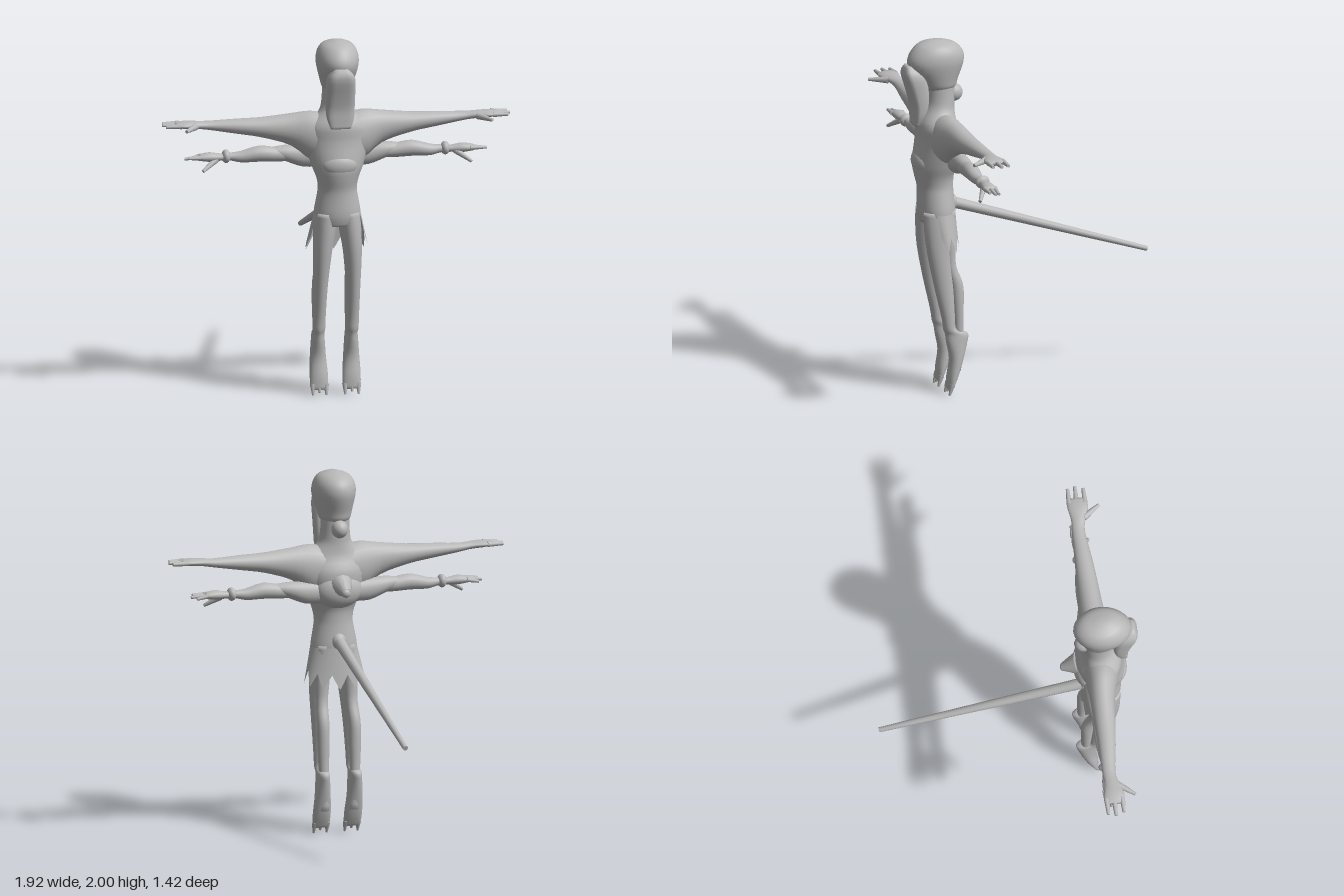
import * as THREE from 'three';

const skin = new THREE.MeshStandardMaterial({ color: 0xb8b8b8, side: THREE.DoubleSide });
skin.name = 'plainGrey';

// Catmull-Rom blend between rows of numbers
function refine(rows, steps) {
  const out = [];
  for (let i = 0; i < rows.length - 1; i++) {
    const p0 = rows[Math.max(i - 1, 0)], p1 = rows[i], p2 = rows[i + 1], p3 = rows[Math.min(i + 2, rows.length - 1)];
    for (let s = 0; s < steps; s++) {
      const t = s / steps;
      out.push(p1.map((v, k) => {
        const c = 0.5 * (2 * v + (p2[k] - p0[k]) * t + (2 * p0[k] - 5 * v + 4 * p2[k] - p3[k]) * t * t
          + (3 * v - p0[k] - 3 * p2[k] + p3[k]) * t * t * t);
        return Math.max(Math.min(v, p2[k]) - 0.01, Math.min(Math.max(v, p2[k]) + 0.01, c));
      }));
    }
  }
  out.push(rows[rows.length - 1]);
  return out;
}

// Skin over elliptical rings; along y: [y, cx, cz, rx, rz], along x: [x, cy, cz, ry, rz]
function loft(axis, rows, power = 1, n = 24, steps = 3) {
  const rings = refine(rows, steps), pos = [], idx = [];
  const bend = v => Math.sign(v) * Math.abs(v) ** power;
  for (const [s, a, b, ra, rb] of rings) {
    for (let j = 0; j < n; j++) {
      const t = j / n * Math.PI * 2, c = bend(Math.cos(t)), d = bend(Math.sin(t));
      if (axis === 'y') pos.push(a + ra * c, s, b + rb * d);
      else pos.push(s, a + ra * d, b + rb * c);
    }
  }
  for (let i = 0; i < rings.length - 1; i++) {
    for (let j = 0; j < n; j++) {
      const k = (j + 1) % n, p = i * n;
      idx.push(p + j, p + n + j, p + k, p + k, p + n + j, p + n + k);
    }
  }
  // end caps
  const last = (rings.length - 1) * n, c0 = pos.length / 3;
  for (const [s, a, b] of [rings[0], rings[rings.length - 1]]) pos.push(...(axis === 'y' ? [a, s, b] : [s, a, b]));
  for (let j = 0; j < n; j++) {
    const k = (j + 1) % n;
    idx.push(c0, j, k, c0 + 1, last + k, last + j);
  }
  const g = new THREE.BufferGeometry();
  g.setAttribute('position', new THREE.Float32BufferAttribute(pos, 3));
  g.setIndex(idx);
  g.computeVertexNormals();
  return g;
}

// Tapered rod between two points
function rod(a, b, ra, rb) {
  const A = new THREE.Vector3(...a), B = new THREE.Vector3(...b), d = B.clone().sub(A);
  const g = new THREE.CylinderGeometry(rb, ra, d.length(), 12);
  g.applyQuaternion(new THREE.Quaternion().setFromUnitVectors(new THREE.Vector3(0, 1, 0), d.clone().normalize()));
  return g.translate(...A.add(B).multiplyScalar(0.5).toArray());
}

const ball = (x, y, z, rx, ry, rz) => new THREE.SphereGeometry(1, 24, 16).scale(rx, ry, rz).translate(x, y, z);

function mirrored(geo) {
  const g = geo.clone().scale(-1, 1, 1), ix = g.index.array;
  for (let i = 0; i < ix.length; i += 3) [ix[i], ix[i + 1]] = [ix[i + 1], ix[i]];
  g.computeVertexNormals();
  return g;
}

// Flared skirt round the sides and back, with a jagged hem
function skirtGeometry() {
  const pos = [], idx = [], n = 56, rows = 5;
  for (let i = 0; i <= n; i++) {
    const t = -0.35 + (Math.PI + 0.7) * i / n;
    const zig = Math.abs(((i / 8) % 1) * 2 - 1);
    const hem = 0.83 - 0.03 * Math.max(0, Math.sin(t)) + 0.08 * zig;
    for (let r = 0; r <= rows; r++) {
      const f = r / rows, y = 1.04 + (hem - 1.04) * f, e = (1.04 - y) / 0.22;
      pos.push(Math.cos(t) * (0.127 + 0.05 * e), y, 0.515 - 0.025 * e - Math.sin(t) * (0.104 - 0.012 * e));
    }
  }
  for (let i = 0; i < n; i++) {
    for (let r = 0; r < rows; r++) {
      const a = i * (rows + 1) + r, b = a + rows + 1;
      idx.push(a, a + 1, b, b, a + 1, b + 1);
    }
  }
  const g = new THREE.BufferGeometry();
  g.setAttribute('position', new THREE.Float32BufferAttribute(pos, 3));
  g.setIndex(idx);
  g.computeVertexNormals();
  return g;
}

export function createModel() {
  const model = new THREE.Group();
  const add = (name, geo) => {
    const m = new THREE.Mesh(geo, skin);
    m.name = name;
    model.add(m);
  };
  const pair = (name, geo) => {
    add(name + 'Left', geo);
    add(name + 'Right', mirrored(geo));
  };

  // torso and neck
  add('torso', loft('y', [
    [0.97, 0, 0.51, 0.12, 0.09], [1.03, 0, 0.513, 0.13, 0.103], [1.13, 0, 0.517, 0.113, 0.099],
    [1.18, 0, 0.52, 0.107, 0.1], [1.24, 0, 0.525, 0.118, 0.11], [1.31, 0, 0.515, 0.145, 0.128],
    [1.44, 0, 0.495, 0.18, 0.125], [1.53, 0, 0.512, 0.165, 0.108], [1.6, 0, 0.5, 0.1, 0.088],
    [1.66, 0, 0.49, 0.082, 0.08], [1.76, 0, 0.49, 0.078, 0.08]], 1, 32));
  add('bellyPatch', ball(0, 1.315, 0.595, 0.1, 0.068, 0.053));

  // hood and long face mask
  add('hood', loft('y', [
    [1.725, 0, 0.495, 0.07, 0.08], [1.745, 0, 0.497, 0.085, 0.098], [1.78, 0, 0.505, 0.095, 0.115],
    [1.84, 0, 0.515, 0.11, 0.148], [1.89, 0, 0.515, 0.117, 0.16], [1.94, 0, 0.51, 0.109, 0.143],
    [1.98, 0, 0.512, 0.08, 0.1], [2, 0, 0.52, 0.02, 0.03]], 1, 32));
  add('faceMask', loft('y', [
    [1.53, 0, 0.637, 0.055, 0.014], [1.58, 0, 0.622, 0.073, 0.03], [1.64, 0, 0.613, 0.079, 0.042],
    [1.72, 0, 0.622, 0.08, 0.054], [1.82, 0, 0.648, 0.075, 0.058], [1.87, 0, 0.675, 0.035, 0.015]], 0.6));

  // bumps on the back
  add('neckBump', ball(0, 1.69, 0.412, 0.045, 0.05, 0.052));
  add('backMound', ball(0, 1.35, 0.425, 0.13, 0.1, 0.075));
  add('backCone', rod([0, 1.385, 0.38], [0, 1.355, 0.3], 0.065, 0.025));
  add('backConeTip', ball(0, 1.354, 0.302, 0.025, 0.025, 0.02));

  // main arms with webbed hands
  pair('arm', loft('x', [
    [0.04, 1.46, 0.5, 0.12, 0.1], [0.14, 1.465, 0.495, 0.137, 0.09], [0.25, 1.5, 0.485, 0.09, 0.07],
    [0.41, 1.517, 0.48, 0.056, 0.058], [0.55, 1.527, 0.475, 0.041, 0.048], [0.7, 1.536, 0.467, 0.025, 0.036],
    [0.77, 1.543, 0.475, 0.021, 0.04], [0.84, 1.547, 0.48, 0.019, 0.057], [0.89, 1.548, 0.475, 0.012, 0.05]]));
  for (const [z, x] of [[0.436, 0.95], [0.477, 0.96], [0.522, 0.945]]) {
    pair('finger', rod([0.86, 1.548, z], [x, 1.547, z], 0.015, 0.009));
  }
  pair('thumb', rod([0.78, 1.54, 0.505], [0.845, 1.535, 0.597], 0.02, 0.009));

  // rear pair of arms
  pair('rearSleeve', loft('x', [
    [0.08, 1.34, 0.45, 0.06, 0.05], [0.18, 1.343, 0.45, 0.062, 0.05], [0.28, 1.362, 0.455, 0.044, 0.045],
    [0.37, 1.375, 0.46, 0.02, 0.025]]));
  pair('rearArm', loft('x', [
    [0.15, 1.36, 0.46, 0.03, 0.03], [0.3, 1.355, 0.46, 0.038, 0.038], [0.42, 1.365, 0.462, 0.044, 0.044],
    [0.52, 1.352, 0.462, 0.032, 0.034], [0.58, 1.355, 0.462, 0.022, 0.024], [0.64, 1.355, 0.465, 0.02, 0.026],
    [0.7, 1.358, 0.467, 0.026, 0.036], [0.76, 1.357, 0.467, 0.016, 0.034]]));
  pair('wristBead', ball(0.605, 1.358, 0.462, 0.025, 0.037, 0.04));
  for (const [z, x, y] of [[0.44, 0.81, 1.345], [0.467, 0.835, 1.352], [0.495, 0.82, 1.36]]) {
    pair('rearFinger', rod([0.74, 1.36, z], [x, y, z], 0.014, 0.008));
  }
  pair('rearThumb', rod([0.66, 1.345, 0.475], [0.742, 1.292, 0.525], 0.018, 0.009));

  // legs with feet pointing down
  pair('leg', loft('y', [
    [0.03, 0.09, 0.468, 0.047, 0.012], [0.1, 0.09, 0.45, 0.051, 0.03], [0.2, 0.092, 0.428, 0.045, 0.04],
    [0.29, 0.092, 0.425, 0.038, 0.06], [0.34, 0.092, 0.428, 0.034, 0.065], [0.37, 0.092, 0.465, 0.034, 0.037],
    [0.44, 0.092, 0.475, 0.035, 0.038], [0.62, 0.09, 0.5, 0.04, 0.055], [0.81, 0.083, 0.525, 0.051, 0.067],
    [0.95, 0.07, 0.517, 0.061, 0.088], [1.04, 0.062, 0.515, 0.06, 0.09]]));
  for (const x of [0.052, 0.09, 0.126]) {
    pair('toe', rod([x, 0.06, 0.462], [x, x === 0.09 ? 0.015 : 0, 0.479], 0.016, 0.006));
  }

  // slender rear legs
  pair('rearLeg', loft('y', [
    [0.13, 0.085, 0.422, 0.028, 0.022], [0.25, 0.087, 0.412, 0.026, 0.025], [0.38, 0.09, 0.415, 0.029, 0.027],
    [0.5, 0.09, 0.418, 0.034, 0.032], [0.62, 0.09, 0.426, 0.034, 0.036], [0.73, 0.085, 0.46, 0.033, 0.031],
    [0.85, 0.08, 0.465, 0.04, 0.036], [0.98, 0.07, 0.47, 0.045, 0.04]]));

  // skirt and tail pole
  add('skirt', skirtGeometry());
  add('tail', rod([0, 1.075, 0.45], [0, 0.678, -0.71], 0.032, 0.014));
  add('tailRoot', ball(0, 1.065, 0.42, 0.04, 0.045, 0.03));

  return model;
}
